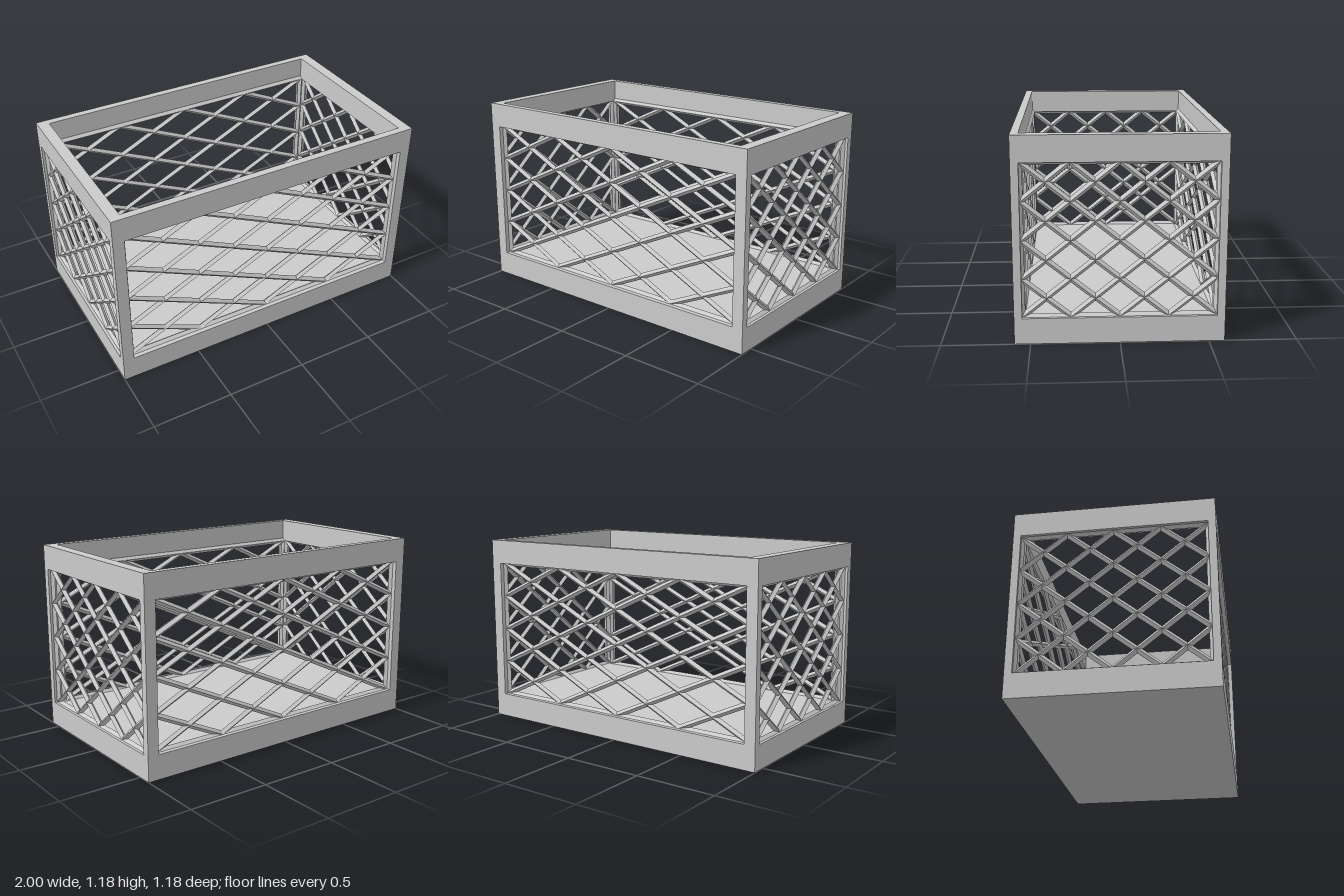
import * as THREE from 'three';

const material = new THREE.MeshStandardMaterial({ color: 0xcccccc, flatShading: true });

// Overall size and wall thicknesses
const HX = 1, HZ = 0.59, H = 1.18;
const IX = 0.93, IZ = 0.545;
const Y0 = 0.15, Y1 = 1.03;
const BAR = 0.018, CELLS = 4;

function add(parent, name, geometry, x = 0, y = 0, z = 0) {
  const mesh = new THREE.Mesh(geometry, material);
  mesh.name = name;
  mesh.position.set(x, y, z);
  parent.add(mesh);
  return mesh;
}

// Diamond-section bar between two points of the XY plane
function addBar(parent, name, ax, ay, bx, by) {
  const dx = bx - ax, dy = by - ay;
  const geometry = new THREE.CylinderGeometry(BAR, BAR, Math.hypot(dx, dy), 4);
  const bar = add(parent, name, geometry, (ax + bx) / 2, (ay + by) / 2);
  bar.rotation.z = Math.atan2(-dx, dy);
}

// Crossed bars and a border filling one opening
function latticePanel(name, halfWidth) {
  const panel = new THREE.Group();
  panel.name = name;
  const px = (u) => -halfWidth + (2 * halfWidth * u) / CELLS;
  const py = (v) => Y0 + ((Y1 - Y0) * v) / CELLS;
  for (let k = 1 - CELLS; k < CELLS; k++) {
    const u0 = Math.max(0, k), u1 = Math.min(CELLS, CELLS + k);
    addBar(panel, 'risingBar', px(u0), py(u0 - k), px(u1), py(u1 - k));
    addBar(panel, 'fallingBar', px(u0), py(CELLS - u0 + k), px(u1), py(CELLS - u1 + k));
  }
  for (const y of [Y0, Y1]) addBar(panel, 'borderRail', -halfWidth, y, halfWidth, y);
  for (const x of [-halfWidth, halfWidth]) addBar(panel, 'borderStile', x, Y0, x, Y1);
  return panel;
}

export function createModel() {
  const crate = new THREE.Group();
  crate.name = 'latticeCrate';

  // Solid base
  add(crate, 'base', new THREE.BoxGeometry(2 * HX, Y0, 2 * HZ), 0, Y0 / 2, 0);

  // Open top rim
  const rect = (Type, x, z) => new Type([[-x, -z], [x, -z], [x, z], [-x, z]]
    .map(([a, b]) => new THREE.Vector2(a, b)));
  const rimShape = rect(THREE.Shape, HX, HZ);
  rimShape.holes.push(rect(THREE.Path, IX, IZ));
  const rim = new THREE.ExtrudeGeometry(rimShape, { depth: H - Y1, bevelEnabled: false });
  rim.rotateX(-Math.PI / 2);
  add(crate, 'topRim', rim, 0, Y1, 0);

  // Corner posts
  for (const sx of [-1, 1]) {
    for (const sz of [-1, 1]) {
      add(crate, 'cornerPost', new THREE.BoxGeometry(HX - IX, Y1 - Y0, HZ - IZ),
        sx * (HX + IX) / 2, (Y0 + Y1) / 2, sz * (HZ + IZ) / 2);
    }
  }

  // Lattice on the long walls and the end walls
  for (const s of [-1, 1]) {
    const long = latticePanel(s > 0 ? 'frontLattice' : 'backLattice', IX);
    long.position.z = s * IZ;
    const end = latticePanel(s > 0 ? 'leftLattice' : 'rightLattice', IZ);
    end.position.x = s * (HX + IX) / 2;
    end.rotation.y = Math.PI / 2;
    crate.add(long, end);
  }
  return crate;
}
